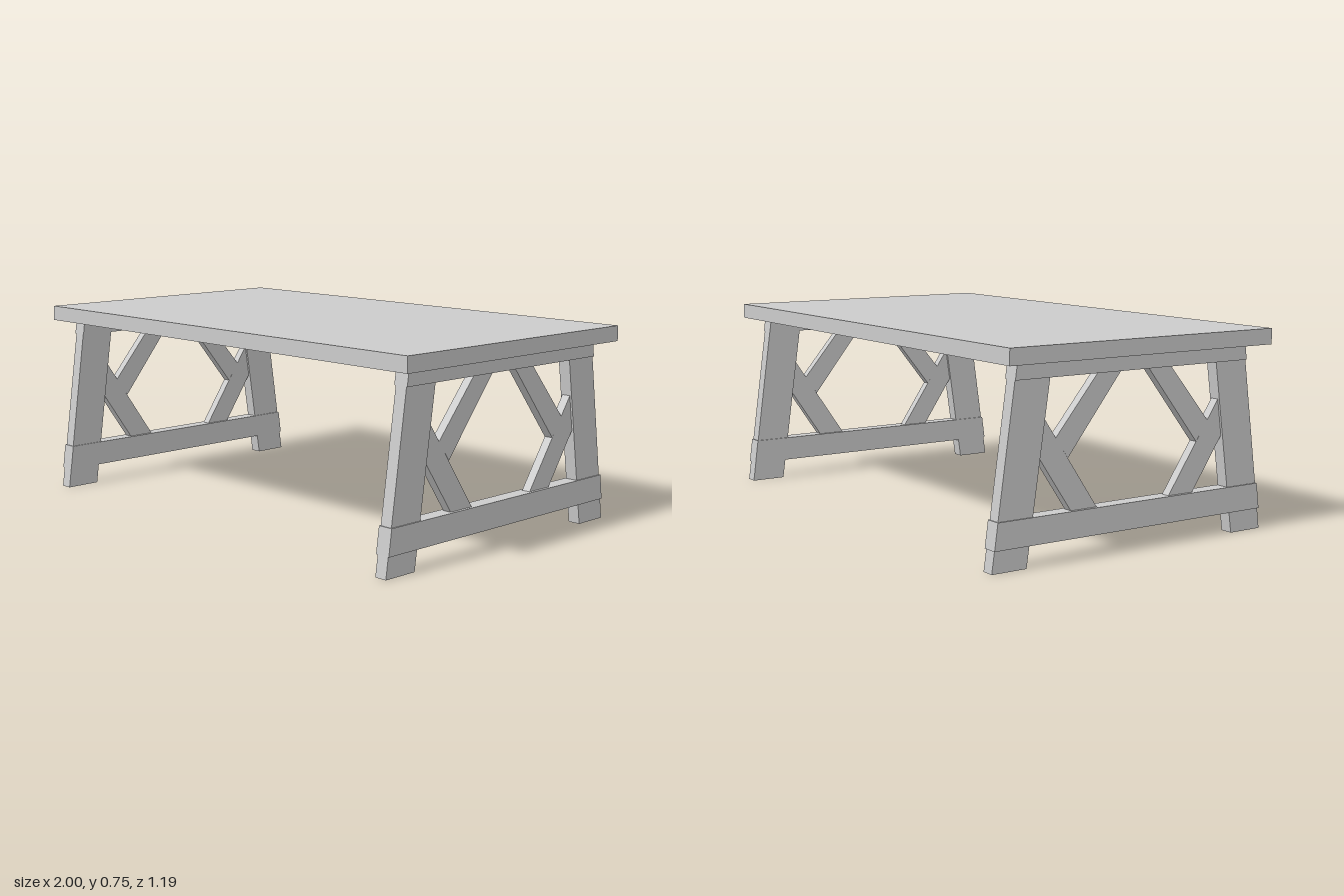
import * as THREE from 'three';

const material = new THREE.MeshStandardMaterial({ color: 0xcccccc, flatShading: true });

// Board with its outline given as [z, y] corners and its thickness along x
function board(name, outline, thickness) {
  const shape = new THREE.Shape(outline.map(([z, y]) => new THREE.Vector2(z, y)));
  const geometry = new THREE.ExtrudeGeometry(shape, { depth: thickness, bevelEnabled: false });
  geometry.translate(0, 0, -thickness / 2).rotateY(-Math.PI / 2);
  const mesh = new THREE.Mesh(geometry, material);
  mesh.name = name;
  return mesh;
}

// Symmetric crosspiece with slanted ends
const rail = (name, y0, z0, y1, z1) =>
  board(name, [[-z0, y0], [z0, y0], [z1, y1], [-z1, y1]], 0.058);

// One trestle: two splayed legs, two rails and forked braces
function trestle(name) {
  const group = new THREE.Group();
  group.name = name;
  for (const side of [1, -1]) {
    const end = side > 0 ? 'front' : 'back';
    const mirror = (points) => points.map(([z, y]) => [z * side, y]);
    group.add(
      board(end + 'Leg', mirror([[0.456, 0], [0.595, 0], [0.497, 0.69], [0.356, 0.69]]), 0.048),
      board(end + 'LowerBrace', mirror([[0.16, 0.172], [0.27, 0.172], [0.402, 0.365], [0.383, 0.498]]), 0.034),
      board(end + 'UpperBrace', mirror([[0.284, 0.354], [0.335, 0.427], [0.16, 0.634], [0.06, 0.634]]), 0.034)
    );
  }
  group.add(
    rail('bottomRail', 0.077, 0.587, 0.172, 0.574),
    rail('topRail', 0.633, 0.507, 0.69, 0.499)
  );
  return group;
}

export function createModel() {
  const table = new THREE.Group();
  table.name = 'table';

  const top = new THREE.Mesh(new THREE.BoxGeometry(2, 0.058, 1.14), material);
  top.name = 'tableTop';
  top.position.y = 0.719;
  table.add(top);

  for (const side of [1, -1]) {
    const frame = trestle(side > 0 ? 'leftTrestle' : 'rightTrestle');
    frame.position.x = side * 0.912;
    table.add(frame);
  }
  return table;
}
